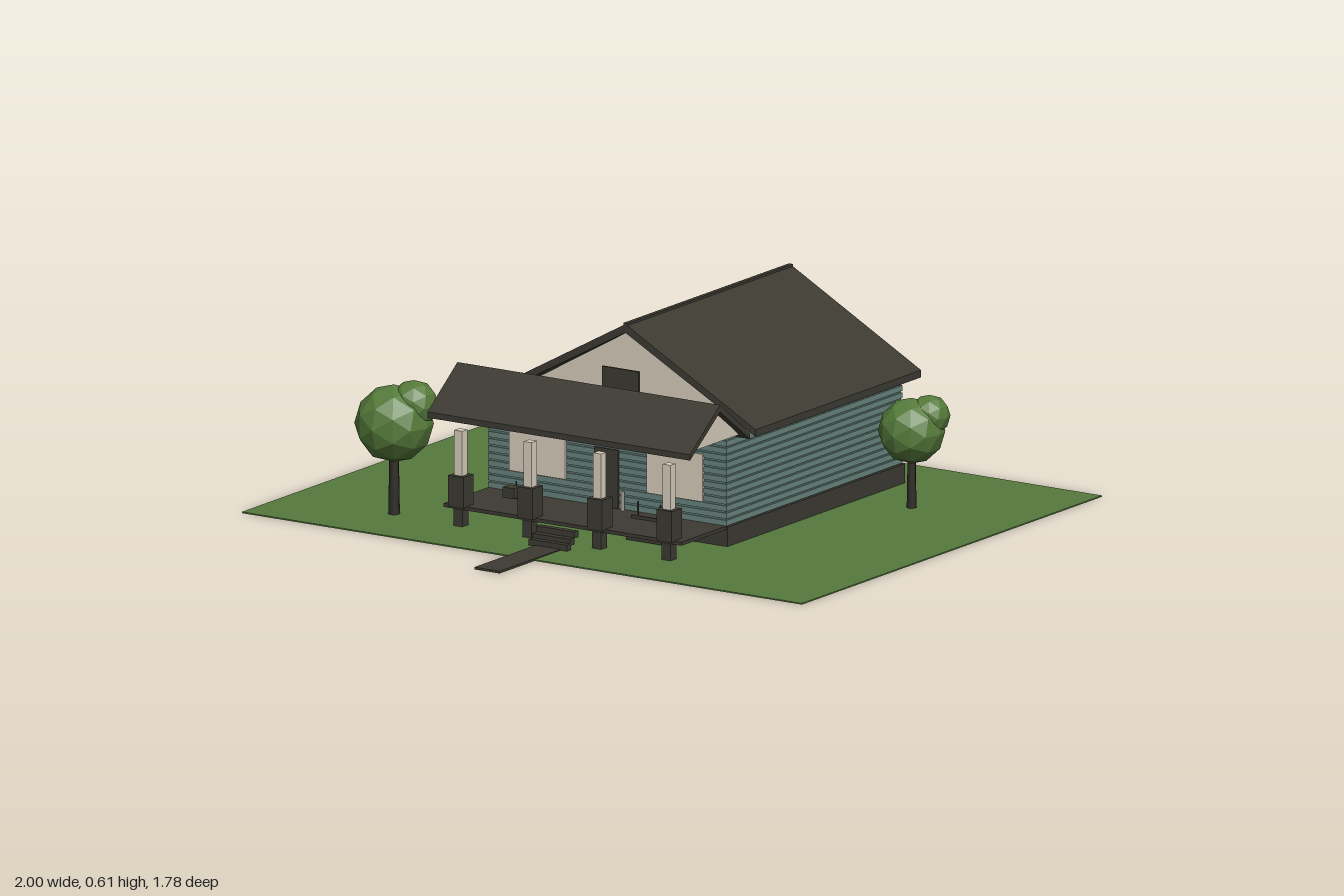
import * as THREE from 'three';

export function createModel() {
  const model = new THREE.Group();
  const mat = (name, color, extra = {}) => {
    const m = new THREE.MeshStandardMaterial({ color, ...extra });
    m.name = name;
    return m;
  };
  const dark = mat('dark shingle', 0x3d3a32);
  const teal = mat('teal siding', 0x69857f);
  const cream = mat('cream trim', 0xd8cebd);
  const grass = mat('grass', 0x55793d);
  const leaf = mat('foliage', 0x557a3a, { flatShading: true });
  const bark = mat('bark', 0x2f2c26);

  const add = (name, geo, material, x = 0, y = 0, z = 0, parent = model) => {
    const mesh = new THREE.Mesh(geo, material);
    mesh.name = name;
    mesh.position.set(x, y, z);
    parent.add(mesh);
    return mesh;
  };
  // Box given by its min and max on each axis
  const box = (name, material, x0, x1, y0, y1, z0, z1, parent = model) =>
    add(name, new THREE.BoxGeometry(x1 - x0, y1 - y0, z1 - z0), material,
      (x0 + x1) / 2, (y0 + y1) / 2, (z0 + z1) / 2, parent);
  // Outline in the xy plane, extruded along z
  const prism = (points, depth) => new THREE.ExtrudeGeometry(
    new THREE.Shape(points.map(([x, y]) => new THREE.Vector2(x, y))),
    { depth, bevelEnabled: false });
  const chevron = (half, ridge, eave, t) => [
    [0, ridge], [-half, eave + t], [-half, eave], [0, ridge - t * 1.2],
    [half, eave], [half, eave + t]];

  // Lawn and front path
  box('lawn', grass, -1, 1, 0, 0.004, -0.84, 0.75);
  box('path', dark, -0.045, 0.045, 0, 0.007, 0.6, 0.935);

  // House body
  box('foundation', dark, -0.43, 0.43, 0, 0.063, -0.642, 0.3);
  box('walls', teal, -0.42, 0.42, 0.063, 0.335, -0.635, 0.295);
  for (let i = 0; i < 12; i++) {
    const y = 0.066 + i * 0.022;
    for (const s of [-1, 1]) {
      box('sideBoard', teal, s * 0.423 - 0.003, s * 0.423 + 0.003, y, y + 0.017, -0.633, 0.295);
    }
    box('frontBoard', teal, -0.426, 0.426, y, y + 0.017, 0.293, 0.299);
  }

  // Main roof, ridge running front to back
  add('mainRoof', prism(chevron(0.465, 0.603, 0.324, 0.022), 0.877), dark, 0, 0, -0.675);
  box('ridgeCap', dark, -0.007, 0.007, 0.595, 0.606, -0.675, 0.202);
  add('mainGable', prism([[-0.425, 0.335], [0.425, 0.335], [0, 0.577]], 0.825), cream, 0, 0, -0.635);
  box('gableVent', dark, -0.065, 0.065, 0.4, 0.472, 0.222, 0.23);

  // Door and windows
  box('door', dark, -0.043, 0.043, 0.063, 0.245, 0.298, 0.305);
  for (const s of [-1, 1]) {
    box('window', cream, s * 0.245 - 0.1, s * 0.245 + 0.1, 0.13, 0.275, 0.298, 0.306);
  }

  // Porch roof, ridge running side to side
  const porchRoof = new THREE.Group();
  porchRoof.name = 'porchRoof';
  porchRoof.position.set(0, 0, 0.396);
  porchRoof.rotation.y = Math.PI / 2;
  model.add(porchRoof);
  add('porchShingles', prism(chevron(0.159, 0.462, 0.325, 0.018), 0.938), dark, 0, 0, -0.469, porchRoof);
  for (const x of [-0.445, 0.435]) {
    add('porchGable', prism([[-0.135, 0.34], [0.135, 0.34], [0, 0.445]], 0.01), cream, 0, 0, x, porchRoof);
  }

  // Porch deck, columns and the piers under them
  box('porchDeck', dark, -0.425, 0.425, 0.055, 0.066, 0.295, 0.535);
  for (const x of [-0.372, -0.124, 0.124, 0.372]) {
    box('pier', dark, x - 0.016, x + 0.016, 0, 0.055, 0.506, 0.538);
    box('columnBase', dark, x - 0.027, x + 0.027, 0.063, 0.158, 0.495, 0.549);
    box('column', cream, x - 0.014, x + 0.014, 0.158, 0.295, 0.508, 0.536);
  }

  // Front steps
  [[0.563, 0.045], [0.584, 0.027], [0.602, 0.013]].forEach(([z, y]) =>
    box('step', dark, -0.068, 0.068, y - 0.01, y + 0.01, z - 0.011, z + 0.011));

  // Bench, hanging box and slim stands on the porch
  box('benchSeat', dark, 0.135, 0.266, 0.006, 0.036, 0.367, 0.4);
  box('benchBack', dark, 0.135, 0.266, 0.036, 0.076, 0.368, 0.373);
  box('porchBox', dark, -0.251, -0.21, 0.097, 0.129, 0.442, 0.481);
  for (const x of [-0.275, -0.19, 0.16, 0.24]) {
    box('stand', dark, x - 0.002, x + 0.002, 0.066, 0.12, 0.37, 0.374);
  }
  box('porchPost', cream, 0.062, 0.069, 0.066, 0.125, 0.31, 0.317);

  // Trees: trunk plus two faceted crowns
  const tree = (x, z, trunkTop, y, r, dx, dy, dz, r2) => {
    const g = new THREE.Group();
    g.name = 'tree';
    g.position.set(x, 0, z);
    model.add(g);
    add('trunk', new THREE.CylinderGeometry(r * 0.12, r * 0.15, trunkTop, 8), bark, 0, trunkTop / 2, 0, g);
    add('crown', new THREE.IcosahedronGeometry(r, 1), leaf, 0, y, 0, g);
    add('smallCrown', new THREE.IcosahedronGeometry(r2, 1), leaf, dx, y + dy, dz, g);
  };
  tree(-0.615, 0.515, 0.2, 0.28, 0.118, 0.053, 0.06, -0.027, 0.073);
  tree(0.613, -0.405, 0.17, 0.238, 0.1, 0.044, 0.047, -0.03, 0.062);

  return model;
}
